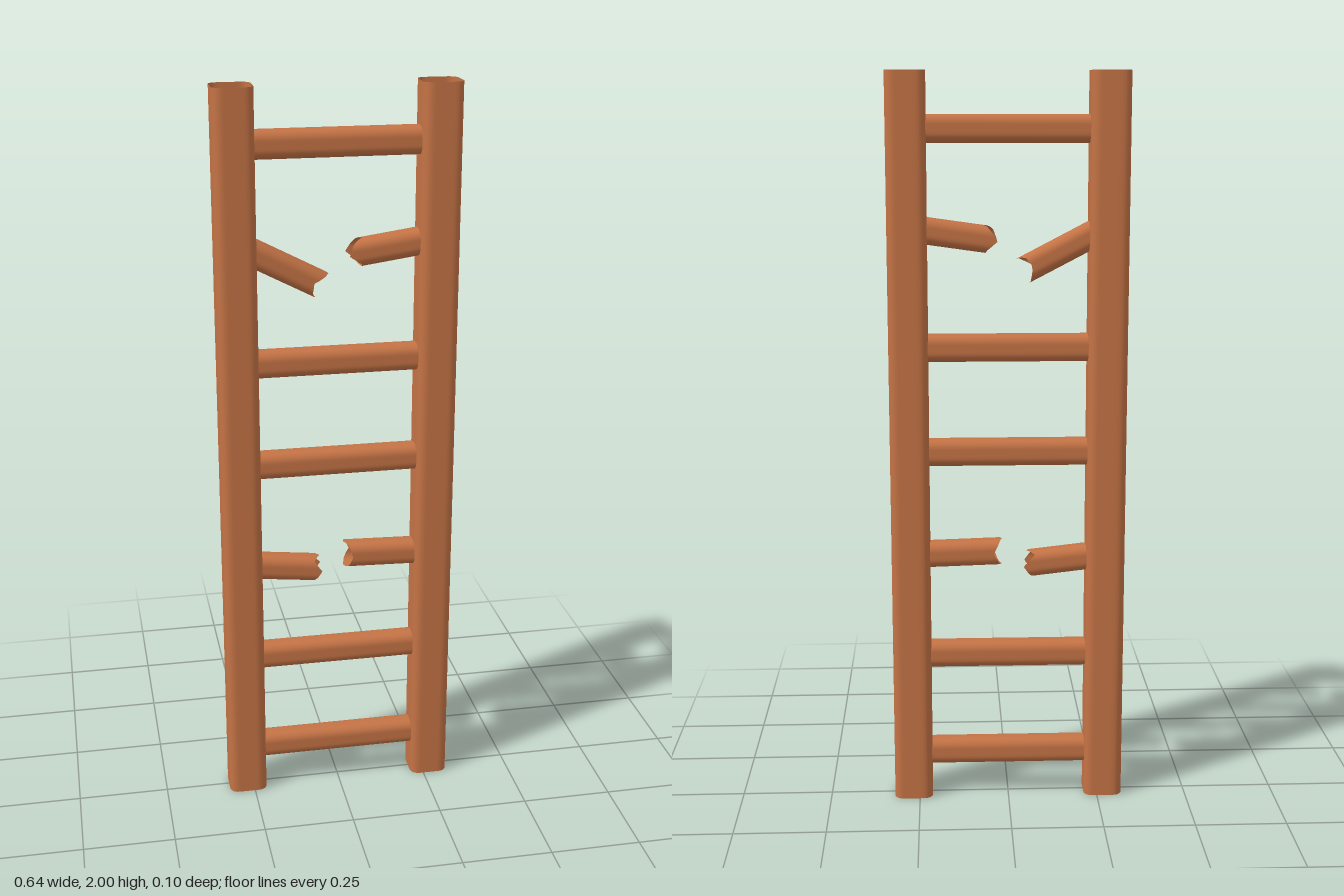
import * as THREE from 'three';

// Closed loop of points of a rounded rectangle, counter-clockwise
function roundedLoop(w, h, r, count) {
  const s = new THREE.Shape();
  const a = w / 2 - r, b = h / 2 - r, q = Math.PI / 2;
  s.absarc(a, b, r, 0, q);
  s.absarc(-a, b, r, q, 2 * q);
  s.absarc(-a, -b, r, 2 * q, 3 * q);
  s.absarc(a, -b, r, 3 * q, 4 * q);
  s.closePath();
  return s.getSpacedPoints(count).slice(0, count);
}

// Open hollow bar along x; low and high give the end position at an angle
// around the section (0 = front, a quarter turn = top)
function hollowBar(depth, height, radius, low, high) {
  const loop = roundedLoop(depth, height, radius, 48);
  const n = loop.length, pos = [], index = [];
  loop.forEach((p, i) => {
    const angle = Math.atan2(p.y, p.x);
    pos.push(low(angle), p.y, p.x, high(angle), p.y, p.x);
    const a = 2 * i, c = 2 * ((i + 1) % n);
    index.push(a, a + 1, c, c, a + 1, c + 1);
  });
  const g = new THREE.BufferGeometry();
  g.setAttribute('position', new THREE.Float32BufferAttribute(pos, 3));
  g.setIndex(index);
  g.computeVertexNormals();
  return g;
}

// Splintered end: eight lengths around the section, joined by straight lines
function splinter(lengths, sign) {
  return (angle) => {
    const t = ((angle / (2 * Math.PI) + 1) % 1) * 8;
    const i = Math.floor(t);
    return sign * THREE.MathUtils.lerp(lengths[i % 8], lengths[(i + 1) % 8], t - i);
  };
}

export function createModel() {
  const model = new THREE.Group();
  model.name = 'brokenLadder';
  const wood = new THREE.MeshStandardMaterial({ color: 0xc47345, side: THREE.DoubleSide });
  wood.name = 'wood';

  const add = (name, geometry, x, y, turn = 0) => {
    const mesh = new THREE.Mesh(geometry, wood);
    mesh.name = name;
    mesh.position.set(x, y, 0);
    mesh.rotation.z = turn;
    model.add(mesh);
  };

  // Side rails, open at both ends
  const rail = hollowBar(0.102, 0.106, 0.024, () => -1, () => 1);
  add('leftRail', rail, 0.267, 1, Math.PI / 2);
  add('rightRail', rail, -0.267, 1, Math.PI / 2);

  // Whole rungs
  const rung = hollowBar(0.064, 0.074, 0.025, () => -0.29, () => 0.29);
  [0.127, 0.415, 0.99, 1.276, 1.852].forEach((y, i) => add(`rung${i + 1}`, rung, 0, y));

  // Broken rung halves: sign is the direction in which the half points
  const halves = [
    ['upperBrokenRungRight', -0.287, 1.61, -0.48, 1, [0.25, 0.27, 0.28, 0.255, 0.25, 0.27, 0.278, 0.26]],
    ['upperBrokenRungLeft', 0.29, 1.598, 0.14, -1, [0.265, 0.25, 0.22, 0.24, 0.265, 0.24, 0.235, 0.235]],
    ['lowerBrokenRungRight', -0.29, 0.7, -0.113, 1, [0.245, 0.22, 0.238, 0.215, 0.25, 0.235, 0.215, 0.23]],
    ['lowerBrokenRungLeft', 0.29, 0.701, -0.03, -1, [0.25, 0.26, 0.275, 0.265, 0.25, 0.265, 0.272, 0.26]],
  ];
  for (const [name, x, y, turn, sign, lengths] of halves) {
    const broken = splinter(lengths, sign), whole = () => 0;
    const geometry = sign > 0
      ? hollowBar(0.066, 0.071, 0.025, whole, broken)
      : hollowBar(0.066, 0.071, 0.025, broken, whole);
    add(name, geometry, x, y, turn);
  }
  return model;
}
